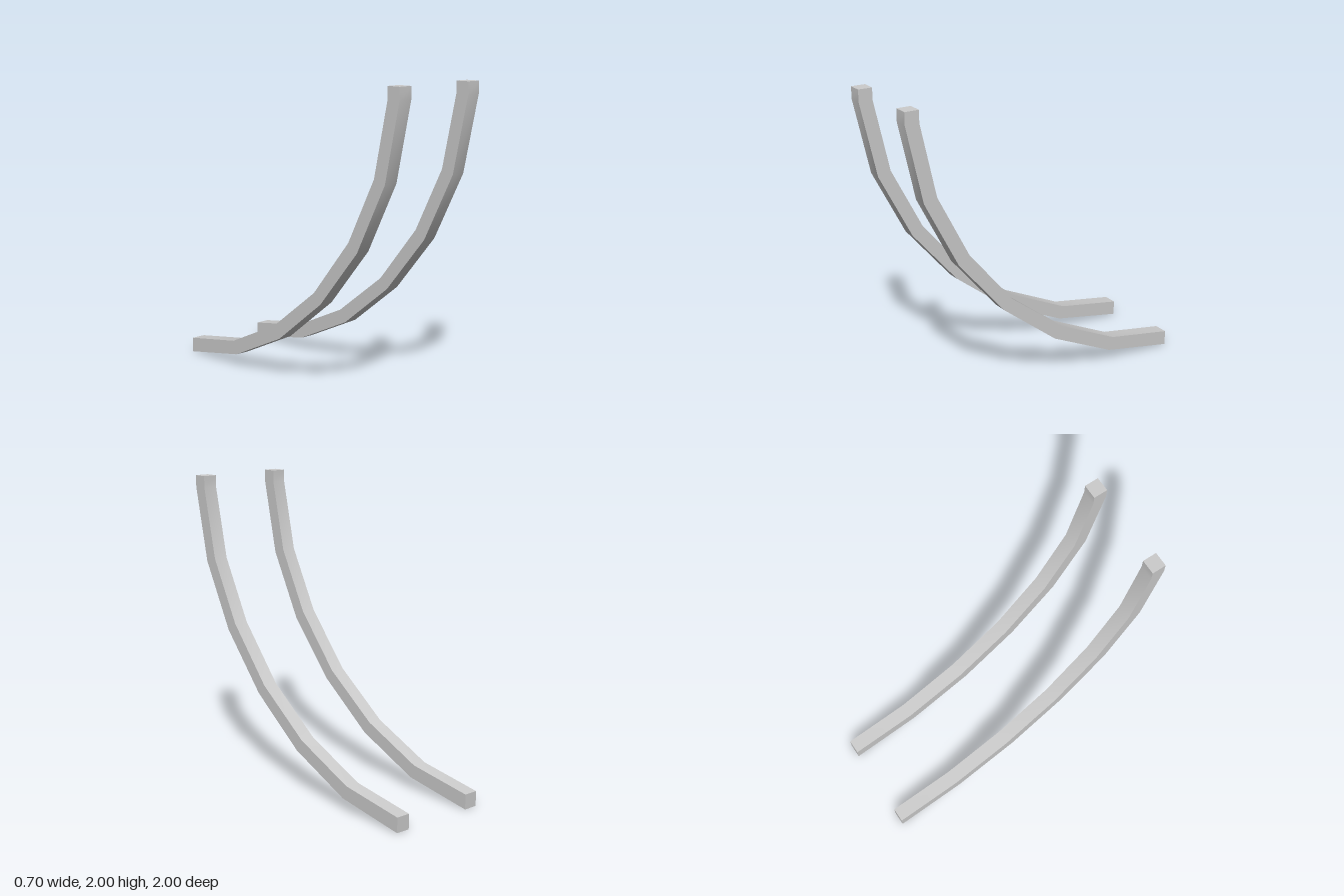
import * as THREE from 'three';
import { toCreasedNormals } from 'three/addons/utils/BufferGeometryUtils.js';

// Side profile as [z, y], from the upright tip down to the rear end
const outerEdge = [
  [1, 2], [1, 1.92], [0.89, 1.42], [0.66, 0.975],
  [0.335, 0.595], [-0.06, 0.29], [-0.51, 0.085], [-1, 0],
];
const innerEdge = [
  [0.905, 2], [0.905, 1.92], [0.8, 1.445], [0.585, 1.03],
  [0.275, 0.66], [-0.11, 0.37], [-0.54, 0.175], [-1, 0.1],
];
const barWidth = 0.098;
const barOffset = 0.3;

export function createModel() {
  const model = new THREE.Group();
  model.name = 'curvedRails';
  const material = new THREE.MeshStandardMaterial({ color: 0xcccccc });

  // Extrude the profile across the bar, then turn it so the width lies along x
  const outline = [...outerEdge, ...[...innerEdge].reverse()];
  const shape = new THREE.Shape(outline.map(([z, y]) => new THREE.Vector2(-z, y)));
  const extruded = new THREE.ExtrudeGeometry(shape, { depth: barWidth, bevelEnabled: false });
  extruded.translate(0, 0, -barWidth / 2);
  extruded.rotateY(Math.PI / 2);

  // Smooth along the bend, sharp along the four long edges
  const geometry = toCreasedNormals(extruded, Math.PI / 6);

  // Matching left and right rails
  for (const [name, side] of [['leftRail', 1], ['rightRail', -1]]) {
    const rail = new THREE.Mesh(geometry, material);
    rail.name = name;
    rail.position.x = side * barOffset;
    model.add(rail);
  }
  return model;
}
